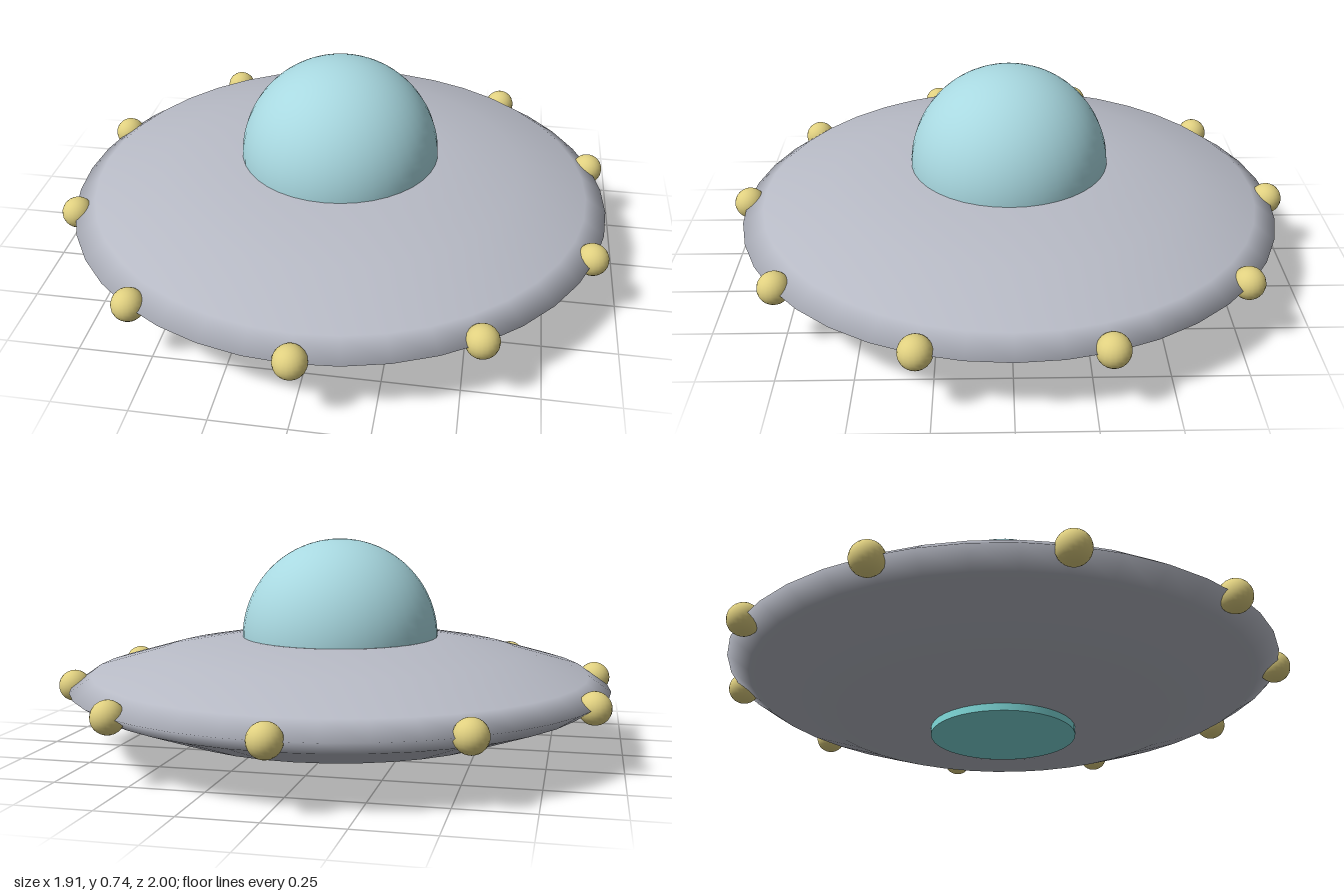
import * as THREE from 'three';

const material = (name, color) => {
  const m = new THREE.MeshStandardMaterial({ color });
  m.name = name;
  return m;
};

export function createModel() {
  const hullGrey = material('hull grey', 0xb8bbc6);
  const domeBlue = material('dome blue', 0xa8d8e0);
  const lampYellow = material('lamp yellow', 0xe0d080);
  const hatchCyan = material('hatch cyan', 0x80dcdc);

  const model = new THREE.Group();
  model.name = 'flyingSaucer';
  const add = (name, geometry, mat, x, y, z) => {
    const mesh = new THREE.Mesh(geometry, mat);
    mesh.name = name;
    mesh.position.set(x, y, z);
    model.add(mesh);
  };

  // Saucer hull, turned from underside to top
  const profile = [
    [0, 0.025], [0.33, 0.025], [0.64, 0.08], [0.88, 0.17], [0.955, 0.22],
    [0.88, 0.272], [0.64, 0.34], [0.36, 0.39], [0, 0.39],
  ].map(([r, y]) => new THREE.Vector2(r, y));
  add('hull', new THREE.LatheGeometry(profile, 40), hullGrey, 0, 0, 0);

  // Glass dome on top
  const dome = new THREE.SphereGeometry(0.35, 40, 20, 0, Math.PI * 2, 0, Math.PI / 2);
  add('dome', dome, domeBlue, 0, 0.385, 0);

  // Round hatch underneath
  add('hatch', new THREE.CylinderGeometry(0.25, 0.25, 0.04, 40), hatchCyan, 0, 0.02, 0);

  // Ring of lamps around the rim
  const lamp = new THREE.SphereGeometry(0.055, 20, 14);
  for (let i = 0; i < 10; i++) {
    const a = (i / 10) * Math.PI * 2;
    add('rimLamp', lamp, lampYellow, Math.sin(a) * 0.945, 0.22, Math.cos(a) * 0.945);
  }
  return model;
}
